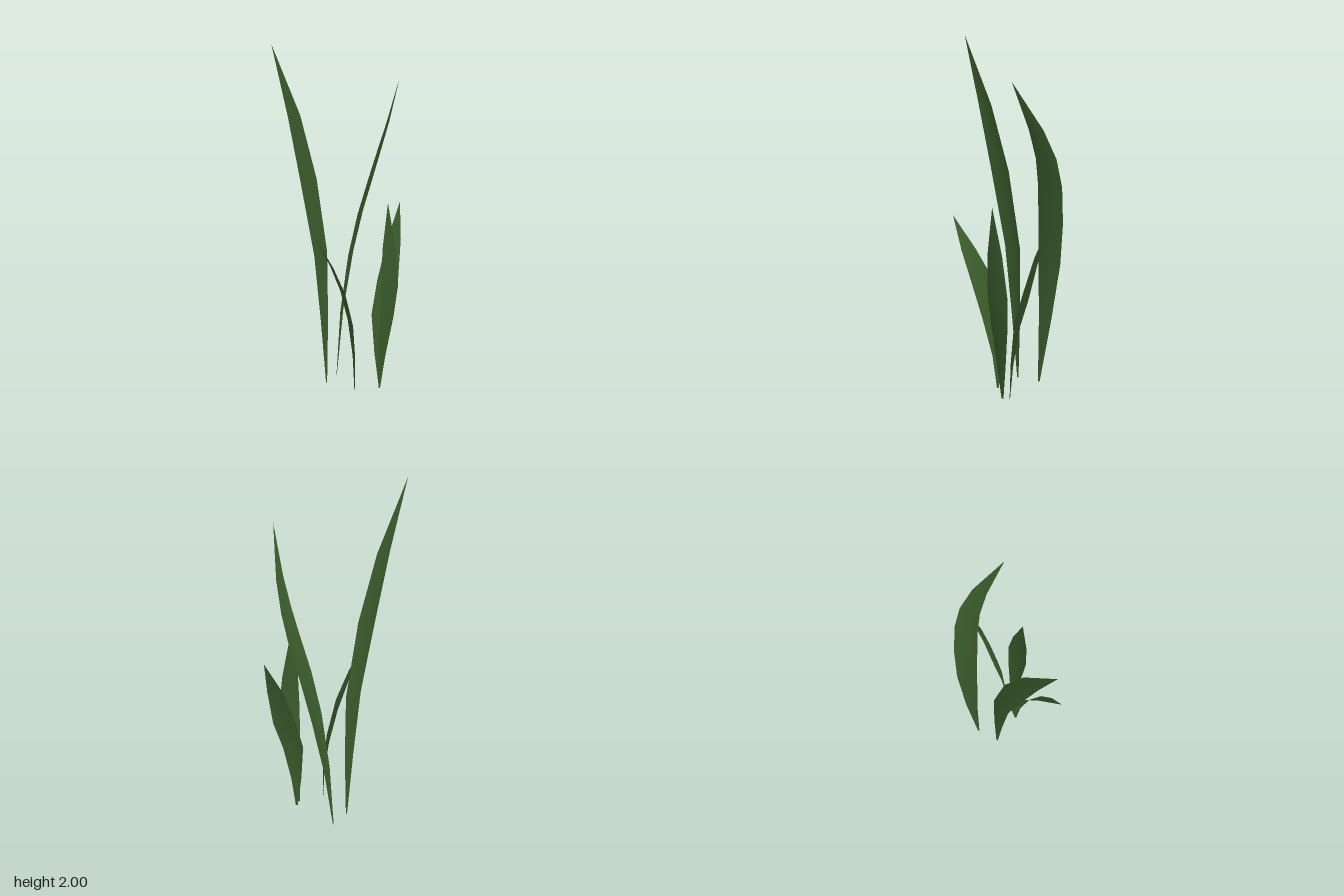
import * as THREE from 'three';

const leafMaterial = new THREE.MeshStandardMaterial({ color: 0x3a5a2b, side: THREE.DoubleSide, roughness: 0.9 });

// Each blade: a horizontal width direction [x, z] and stations [x, y, z, halfWidth] from root to tip.
const blades = [
  { name: 'tallBlade', across: [-0.8, 0.6], stations: [
    [-0.06, 0, -0.083, 0.005], [-0.075, 0.4, -0.075, 0.033], [-0.1, 0.8, -0.06, 0.057],
    [-0.18, 1.24, -0.003, 0.068], [-0.272, 1.61, 0.066, 0.05], [-0.405, 2, 0.16, 0]] },
  { name: 'curvedBlade', across: [0.48, -0.88], stations: [
    [0.028, 0, -0.19, 0.005], [0.068, 0.4, -0.214, 0.037], [0.126, 0.75, -0.221, 0.063],
    [0.182, 1, -0.211, 0.07], [0.242, 1.22, -0.19, 0.067], [0.28, 1.38, -0.157, 0.057],
    [0.308, 1.54, -0.095, 0.04], [0.33, 1.8, 0.042, 0]] },
  { name: 'backSideBlade', across: [1, 0], stations: [
    [0.235, 0, 0.03, 0.006], [0.235, 0.2, 0.02, 0.03], [0.251, 0.43, 0, 0.059],
    [0.3, 0.62, -0.04, 0.064], [0.35, 0.85, -0.09, 0.042], [0.405, 1.06, -0.16, 0]] },
  { name: 'frontSideBlade', across: [0.83, -0.56], stations: [
    [0.222, 0, 0.07, 0.008], [0.235, 0.2, 0.08, 0.033], [0.258, 0.43, 0.097, 0.062],
    [0.27, 0.62, 0.11, 0.077], [0.258, 0.86, 0.121, 0.055], [0.245, 1.12, 0.13, 0]] },
  { name: 'leaningBlade', across: [0, 1], stations: [
    [0.073, 0, 0.066, 0.005], [0.067, 0.2, 0.066, 0.03], [0.038, 0.42, 0.086, 0.062],
    [-0.022, 0.63, 0.136, 0.066], [-0.1, 0.8, 0.202, 0.042], [-0.205, 0.98, 0.273, 0]] },
];

// Shallow V cross-section (edge, midrib, edge) swept through the stations
function bladeGeometry({ across: [ax, az], stations }) {
  const positions = [], index = [];
  stations.forEach(([x, y, z, w], i) => {
    const fold = w * 0.12;
    for (const s of [-1, 0, 1]) {
      const f = s === 0 ? fold : -fold / 2;
      positions.push(x + ax * w * s - az * f, y, z + az * w * s + ax * f);
    }
    if (i === 0) return;
    for (let k = 0; k < 2; k++) {
      const a = (i - 1) * 3 + k, b = a + 3;
      index.push(a, a + 1, b + 1);
      // The second triangle closes to a point at the tip
      if (w > 0) index.push(a, b + 1, b);
    }
  });
  // Merge the tip row into its first vertex
  const tip = (stations.length - 1) * 3;
  const merged = index.map((v) => (v >= tip ? tip : v));
  // Complete the inner and outer tip triangles
  const geometry = new THREE.BufferGeometry();
  geometry.setAttribute('position', new THREE.Float32BufferAttribute(positions.slice(0, tip * 3 + 3), 3));
  geometry.setIndex(merged);
  geometry.computeVertexNormals();
  return geometry;
}

export function createModel() {
  const plant = new THREE.Group();
  plant.name = 'grassPlant';
  for (const blade of blades) {
    const mesh = new THREE.Mesh(bladeGeometry(blade), leafMaterial);
    mesh.name = blade.name;
    plant.add(mesh);
  }
  return plant;
}
